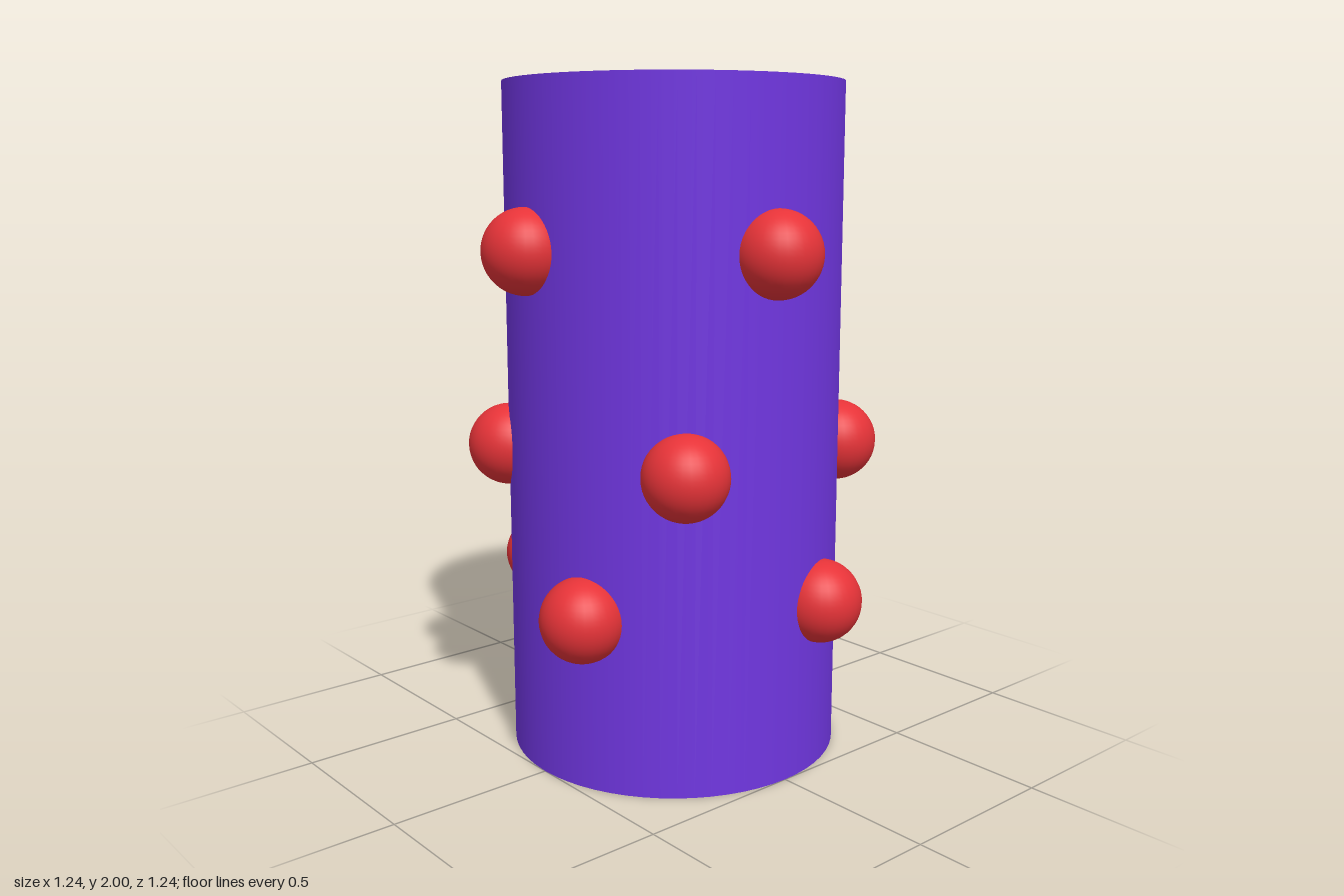
import * as THREE from 'three';

const RADIUS = 0.5;
const HEIGHT = 2;
const STUD_RADIUS = 0.123;

// Rings of studs: height and angle of the first stud, measured from +z towards +x
const RINGS = [
  { name: 'lowerStuds', y: 0.505, angle: 0.325 },
  { name: 'middleStuds', y: 0.93, angle: -0.643 },
  { name: 'upperStuds', y: 1.525, angle: -0.108 },
];

export function createModel() {
  const model = new THREE.Group();
  model.name = 'studdedColumn';
  const purple = new THREE.MeshStandardMaterial({ color: 0x7036e0 });
  const red = new THREE.MeshStandardMaterial({ color: 0xe63338 });

  // Solid column
  const column = new THREE.Mesh(new THREE.CylinderGeometry(RADIUS, RADIUS, HEIGHT, 64), purple);
  column.name = 'column';
  column.position.y = HEIGHT / 2;
  model.add(column);

  // Four half-sunk balls per ring, a quarter turn apart
  const ball = new THREE.SphereGeometry(STUD_RADIUS, 32, 24);
  for (const { name, y, angle } of RINGS) {
    const ring = new THREE.Group();
    ring.name = name;
    for (let i = 0; i < 4; i++) {
      const a = angle + (i * Math.PI) / 2;
      const stud = new THREE.Mesh(ball, red);
      stud.name = 'stud';
      stud.position.set(RADIUS * Math.sin(a), y, RADIUS * Math.cos(a));
      ring.add(stud);
    }
    model.add(ring);
  }
  return model;
}
